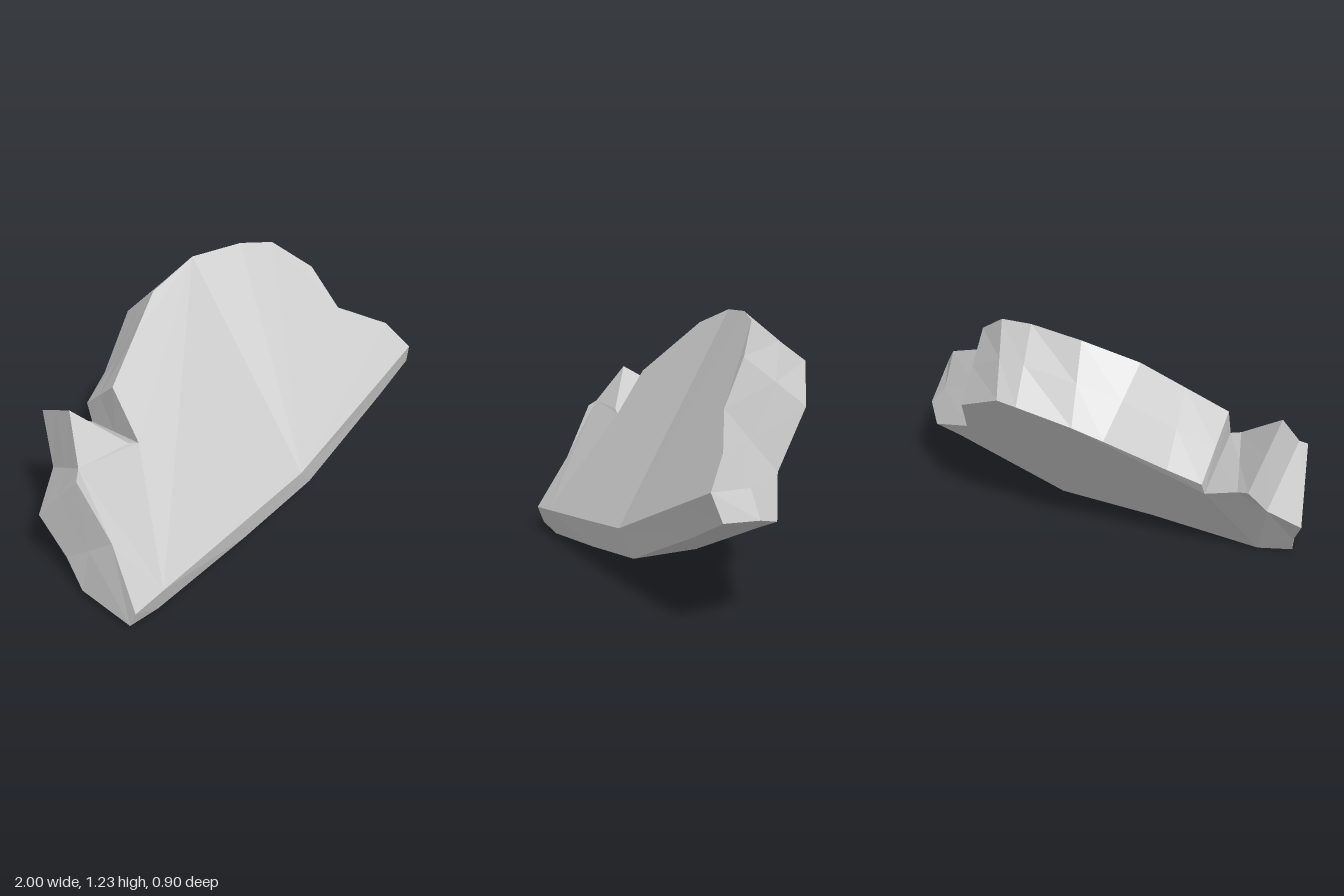
import * as THREE from 'three';

// Each rib crosses the rim of the leaning slab from its front face to its back face.
// Upper ribs: front point, back point (right end, over the crest, down the left side).
const rimRibs = [
  [[0.88, 0.73, 0.35], [0.9, 0.43, 0.11]],
  [[0.65, 0.86, 0.21], [0.66, 0.57, -0.05]],
  [[0.59, 1.06, 0.08], [0.59, 0.83, -0.24]],
  [[0.44, 1.2, -0.05], [0.35, 1.0, -0.4]],
  [[0.28, 1.23, -0.11], [0.25, 1.005, -0.435]],
  [[0.03, 1.225, -0.18], [0.0, 0.95, -0.445]], // crest
  [[-0.23, 1.15, -0.17], [-0.14, 0.91, -0.45]],
  [[-0.42, 1.015, -0.105], [-0.4, 0.73, -0.34]],
  [[-0.61, 0.88, -0.04], [-0.55, 0.65, -0.3]],
  [[-0.61, 0.66, 0.11], [-0.56, 0.57, -0.26]], // notch
  [[-0.66, 0.68, 0.1], [-0.71, 0.65, -0.31]],
  [[-0.85, 0.88, -0.04], [-0.76, 0.69, -0.355]], // horn
  [[-0.93, 0.69, 0.09], [-0.84, 0.49, -0.21]],
  [[-0.97, 0.66, 0.12], [-1.0, 0.36, -0.13]],
  [[-0.93, 0.39, 0.27], [-0.97, 0.17, 0.0]],
].map(([f, b]) => [f, f.map((v, i) => (v + b[i]) / 2), b]);

// Lower ribs have a chamfer ridge: front point, ridge point, back point.
const keelRibs = [
  [[-0.965, 0.12, 0.435], [-0.97, 0.03, 0.4], [-0.97, 0.03, 0.09]],
  [[-0.8, 0.14, 0.435], [-0.8, 0.005, 0.395], [-0.8, 0.0, 0.09]],
  [[-0.25, 0.21, 0.44], [-0.25, 0.075, 0.415], [-0.25, 0.07, 0.115]],
  [[0.12, 0.26, 0.445], [0.22, 0.14, 0.42], [0.22, 0.14, 0.1]], // keel fold
  [[0.75, 0.515, 0.45], [0.78, 0.38, 0.42], [0.78, 0.38, 0.115]],
  [[0.96, 0.6, 0.45], [1.0, 0.485, 0.42], [0.9, 0.43, 0.11]],
  [[0.96, 0.6, 0.45], [0.98, 0.47, 0.24], [0.9, 0.43, 0.11]],
];

const ribs = [...rimRibs, ...keelRibs];
const CREST = 5;
const KEEL = rimRibs.length + 3;

function makeMesh(name, triangles) {
  const geometry = new THREE.BufferGeometry();
  geometry.setAttribute('position', new THREE.Float32BufferAttribute(triangles.flat(2), 3));
  geometry.computeVertexNormals();
  const material = new THREE.MeshStandardMaterial({ color: 0xcccccc, flatShading: true });
  const mesh = new THREE.Mesh(geometry, material);
  mesh.name = name;
  return mesh;
}

// Fills the stretch of outline between two ribs; side 0 is the front, 2 the back.
function facet(side, from, to) {
  const points = [];
  for (let i = from; i <= to; i++) {
    const p = ribs[i % ribs.length][side];
    if (!points.some((q) => q.every((v, k) => v === p[k]))) points.push(p);
  }
  const outline = points.map(([x, y]) => new THREE.Vector2(x, y));
  return THREE.ShapeUtils.triangulateShape(outline, []).map(([a, b, c]) =>
    side === 0 ? [points[a], points[b], points[c]] : [points[a], points[c], points[b]]);
}

// Both broad faces fold along the line from crest to keel.
const broadFace = (side) => [
  ...facet(side, CREST, KEEL),
  ...facet(side, KEEL, CREST + ribs.length),
];

// The broken edge all round, as strips between neighbouring ribs.
function rim() {
  const triangles = [];
  ribs.forEach((rib, i) => {
    const next = ribs[(i + 1) % ribs.length];
    for (let k = 0; k < 2; k++) {
      triangles.push([rib[k], rib[k + 1], next[k + 1]], [rib[k], next[k + 1], next[k]]);
    }
  });
  return triangles;
}

export function createModel() {
  const group = new THREE.Group();
  group.name = 'rockSlab';
  group.add(
    makeMesh('frontFace', broadFace(0)),
    makeMesh('backFace', broadFace(2)),
    makeMesh('brokenRim', rim()),
  );
  return group;
}
